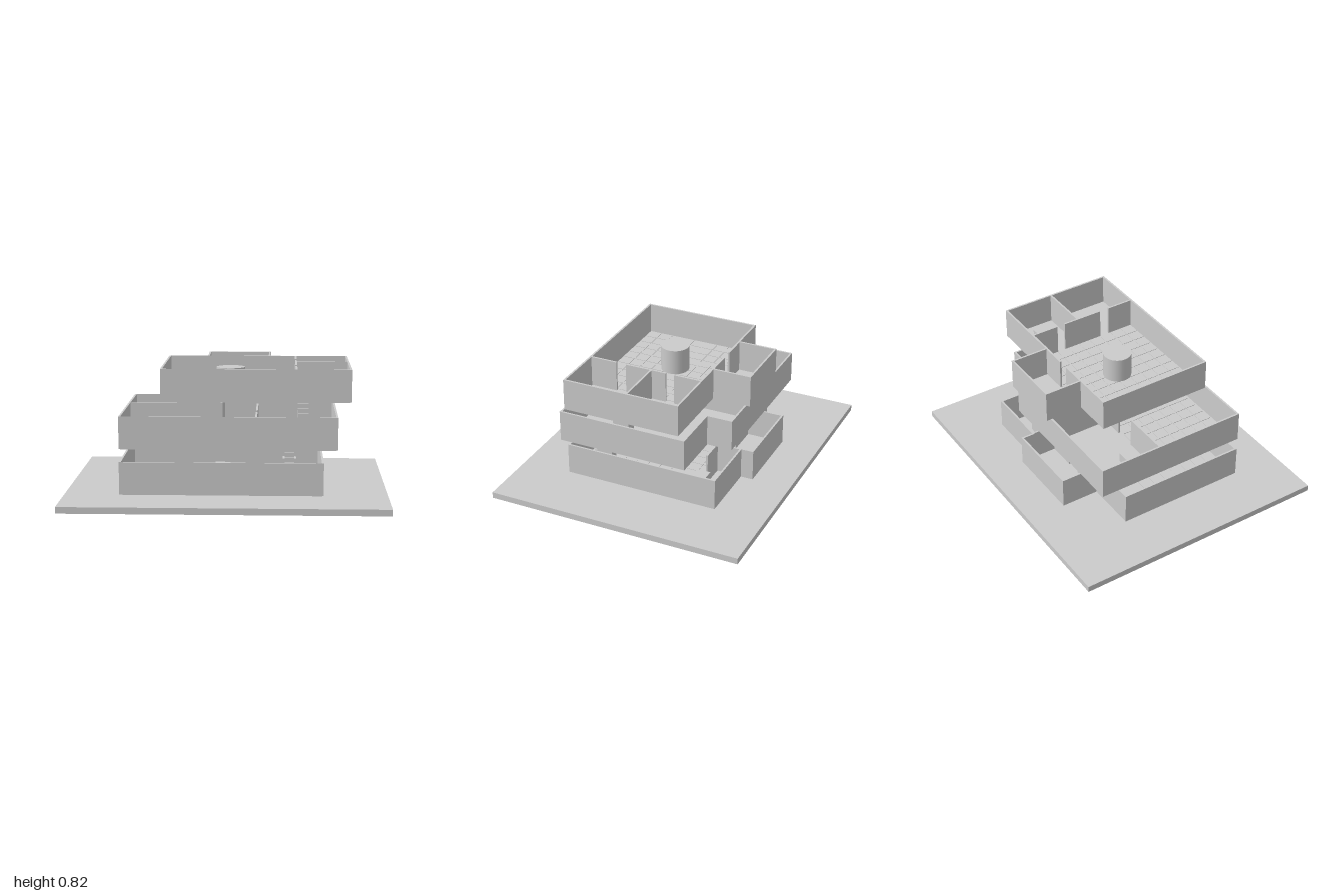
import * as THREE from 'three';
import { mergeGeometries } from 'three/addons/utils/BufferGeometryUtils.js';

const mat = new THREE.MeshStandardMaterial({ color: 0xcccccc, flatShading: true });
const T = 0.012; // wall thickness
const H = 0.205; // storey height

function boxGeo(x0, x1, y0, y1, z0, z1) {
  const g = new THREE.BoxGeometry(x1 - x0, y1 - y0, z1 - z0);
  return g.translate((x0 + x1) / 2, (y0 + y1) / 2, (z0 + z1) / 2);
}

function add(parent, name, geo) {
  const m = new THREE.Mesh(geo, mat);
  m.name = name;
  parent.add(m);
}

// Plan outline [x, z] raised between two heights
function prism(outline, y, h, inner) {
  const shape = new THREE.Shape(outline.map(([x, z]) => new THREE.Vector2(x, -z)));
  if (inner) shape.holes.push(new THREE.Path(inner.map(([x, z]) => new THREE.Vector2(x, -z))));
  const g = new THREE.ExtrudeGeometry(shape, { depth: h, bevelEnabled: false });
  return g.rotateX(-Math.PI / 2).translate(0, y, 0);
}

// Right-angled outline moved inwards by d (corners run front-left to front-right first)
function inset(pts, d) {
  const n = pts.length;
  return pts.map((p, i) => {
    const a = pts[(i + n - 1) % n], b = pts[(i + 1) % n];
    const out = [p[0], p[1]];
    for (const [s, e] of [[a, p], [p, b]]) {
      out[0] += Math.sign(e[1] - s[1]) * d;
      out[1] -= Math.sign(e[0] - s[0]) * d;
    }
    return out;
  });
}

// Straight partition along x or z
function partition([x0, z0, x1, z1], y) {
  const t = T / 2;
  return x0 === x1
    ? boxGeo(x0 - t, x0 + t, y, y + H - 0.01, Math.min(z0, z1), Math.max(z0, z1))
    : boxGeo(Math.min(x0, x1), Math.max(x0, x1), y, y + H - 0.01, z0 - t, z0 + t);
}

// Low paving tiles over a rectangle
function tiles([x0, x1, z0, z1], y) {
  const nx = Math.round((x1 - x0) / 0.08), nz = Math.round((z1 - z0) / 0.08);
  const dx = (x1 - x0) / nx, dz = (z1 - z0) / nz, gap = 0.003, parts = [];
  for (let i = 0; i < nx; i++) for (let j = 0; j < nz; j++) {
    const x = x0 + i * dx, z = z0 + j * dz;
    parts.push(boxGeo(x + gap, x + dx - gap, y, y + 0.003, z + gap, z + dz - gap));
  }
  return mergeGeometries(parts);
}

// Steps rising towards the back, solid to the floor
function stairs(x0, x1, zEnd, y) {
  const n = 9, rise = 0.0285, run = 0.018, parts = [];
  for (let i = 0; i < n; i++) {
    const z = zEnd + (n - 1 - i) * run;
    parts.push(boxGeo(x0, x1, y, y + (i + 1) * rise, z, z + run));
  }
  return mergeGeometries(parts);
}

const storeys = [
  {
    name: 'lowerStorey', y: 0.047,
    outline: [[-0.655, 0.505], [0.6, 0.505], [0.6, -0.505], [0.19, -0.505],
      [0.19, -0.585], [-0.32, -0.585], [-0.32, -0.34], [-0.655, -0.34]],
    walls: [[0.19, -0.505, 0.19, -0.34], [-0.32, -0.34, -0.1, -0.34], [0, -0.34, 0.35, -0.34]],
    paved: [-0.64, 0.34, -0.32, 0.49],
    stair: [0.36, 0.42, 0.29],
    boxes: [['counter', 0.35, 0.44, 0.08, -0.365, -0.28]],
  },
  {
    name: 'middleStorey', y: 0.33,
    outline: [[-0.655, 0.505], [0.685, 0.505], [0.685, -0.34], [0.35, -0.34],
      [0.35, -0.505], [-0.655, -0.505]],
    walls: [[-0.65, -0.09, -0.34, -0.09], [-0.2, -0.09, -0.05, -0.09], [-0.05, -0.09, -0.05, -0.5],
      [0.185, 0.5, 0.185, 0.28], [0.185, 0.22, 0.185, -0.09]],
    paved: [-0.64, 0.175, -0.08, 0.49],
    stair: [0.44, 0.51, 0.12],
    boxes: [['table', -0.61, -0.43, 0.06, -0.24, -0.155], ['cabinet', 0.635, 0.67, 0.06, 0.42, 0.47]],
  },
  {
    name: 'upperStorey', y: 0.613,
    outline: [[-0.405, 0.42], [0.77, 0.42], [0.77, -0.34], [0.265, -0.34],
      [0.265, -0.585], [-0.15, -0.585], [-0.15, -0.34], [-0.405, -0.34]],
    walls: [[0.43, 0.415, 0.43, 0.235], [0.43, 0.17, 0.43, -0.1], [0.43, -0.155, 0.43, -0.335],
      [0.43, 0, 0.765, 0], [-0.15, -0.335, 0.02, -0.335], [0.09, -0.335, 0.265, -0.335]],
    paved: [-0.39, 0.42, -0.325, 0.405],
    boxes: [['bench', 0.54, 0.65, 0.06, -0.205, -0.14]],
  },
];

export function createModel() {
  const model = new THREE.Group();
  model.name = 'steppedBuilding';
  add(model, 'groundPlate', boxGeo(-1, 1, 0, 0.04, -0.83, 0.83));

  for (const s of storeys) {
    const g = new THREE.Group();
    g.name = s.name;
    model.add(g);
    const floorTop = s.y + 0.01;
    add(g, 'floorSlab', prism(inset(s.outline, 0.008), s.y, 0.01));
    add(g, 'outerWalls', prism(s.outline, s.y + 0.004, H - 0.004, inset(s.outline, T)));
    add(g, 'partitions', mergeGeometries(s.walls.map((w) => partition(w, floorTop))));
    add(g, 'floorTiles', tiles(s.paved, floorTop));
    if (s.stair) add(g, 'stairs', stairs(...s.stair, floorTop));
    for (const [name, x0, x1, h, z0, z1] of s.boxes)
      add(g, name, boxGeo(x0, x1, floorTop, floorTop + h, z0, z1));
  }

  // Round drum in the middle of the top hall
  const drum = new THREE.Mesh(new THREE.CylinderGeometry(0.09, 0.09, 0.165, 32),
    new THREE.MeshStandardMaterial({ color: 0xcccccc }));
  drum.name = 'drum';
  drum.position.set(0.015, 0.706, 0.035);
  model.add(drum);
  return model;
}
